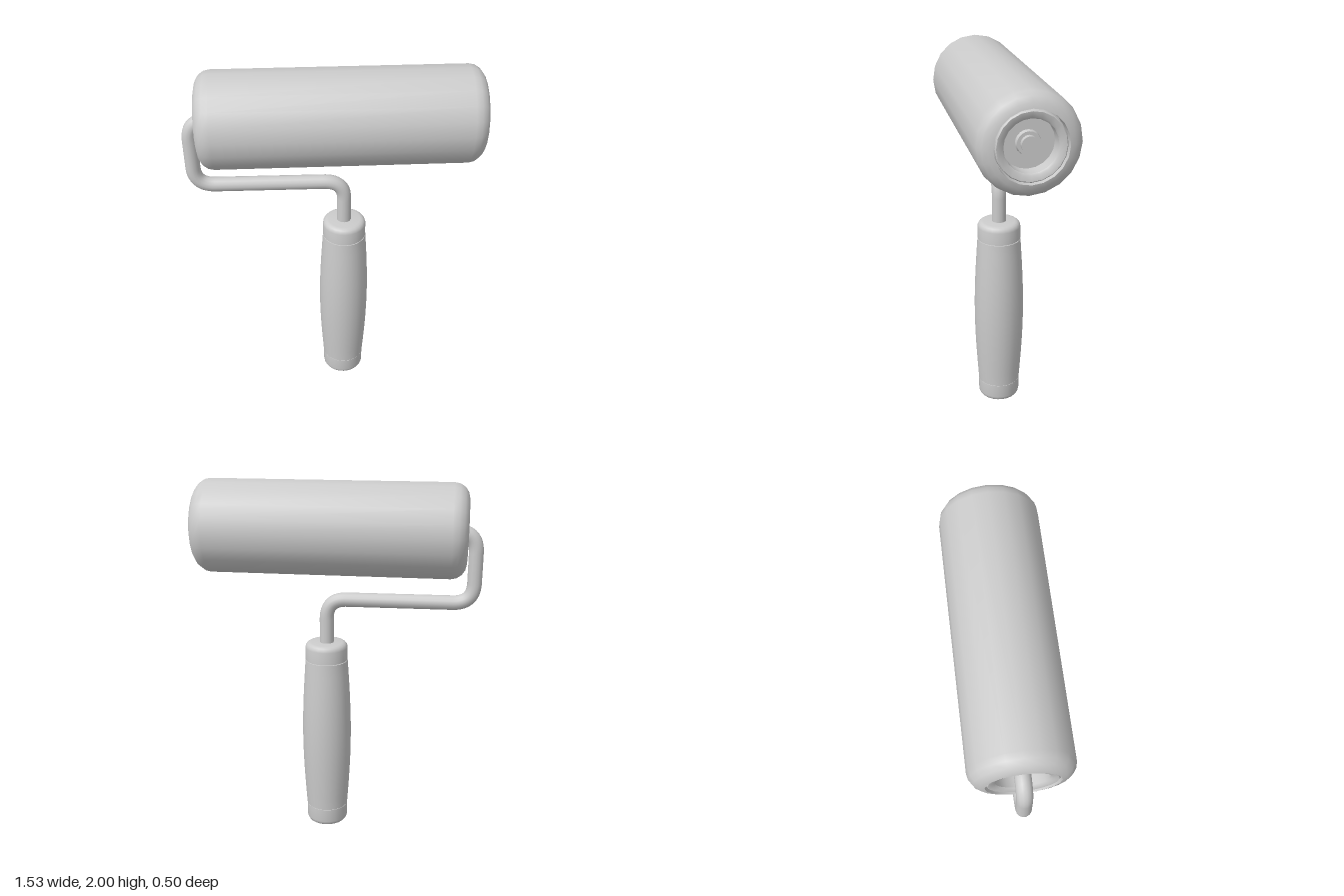
import * as THREE from 'three';
import { toCreasedNormals } from 'three/addons/utils/BufferGeometryUtils.js';

const material = new THREE.MeshStandardMaterial({ color: 0xcccccc });

function add(group, name, geometry) {
  const mesh = new THREE.Mesh(geometry, material);
  mesh.name = name;
  group.add(mesh);
  return mesh;
}

// Turned part from [radius, height] pairs, listed bottom to top
function turned(points, sides) {
  const profile = points.map(([r, y]) => new THREE.Vector2(r, y));
  return toCreasedNormals(new THREE.LatheGeometry(profile, sides), 0.7);
}

// Quarter-round points about (r, y), from angle a to a + 90 degrees
function round(r, y, radius, a) {
  return [0, 1, 2, 3, 4].map((i) => {
    const t = a + (i * Math.PI) / 8;
    return [r + radius * Math.cos(t), y + radius * Math.sin(t)];
  });
}

// Path through corners, each rounded with a bend of the given size
function bentPath(corners, bend) {
  const pts = corners.map(([x, y]) => new THREE.Vector3(x, y, 0));
  const path = new THREE.CurvePath();
  let start = pts[0];
  for (let i = 1; i < pts.length - 1; i++) {
    const toward = (p) => pts[i].clone().add(p.clone().sub(pts[i]).setLength(bend));
    const before = toward(pts[i - 1]);
    const after = toward(pts[i + 1]);
    path.add(new THREE.LineCurve3(start, before));
    path.add(new THREE.QuadraticBezierCurve3(before, pts[i], after));
    start = after;
  }
  path.add(new THREE.LineCurve3(start, pts[pts.length - 1]));
  return path;
}

export function createModel() {
  const group = new THREE.Group();
  const axisY = 1.75, rollerX = 0.04, half = 0.72;

  // Roller lies along x
  const roller = new THREE.Group();
  roller.name = 'roller';
  roller.position.set(rollerX, axisY, 0);
  roller.rotation.z = -Math.PI / 2;
  group.add(roller);

  // Padded sleeve with rounded rims and an open core
  const sleeve = 0.08;
  add(roller, 'sleeve', turned([
    [0.175, -half + 0.1], [0.175, -half],
    ...round(0.25 - sleeve, -half + sleeve, sleeve, -Math.PI / 2).slice(1),
    ...round(0.25 - sleeve, half - sleeve, sleeve, 0).slice(0, 4),
    [0.175, half], [0.175, half - 0.1],
  ], 20));

  // Recessed end caps with a lip and a small hub
  for (const side of [-1, 1]) {
    const cap = add(roller, side < 0 ? 'rightEndCap' : 'leftEndCap', turned([
      [0.176, half - 0.1], [0.167, half - 0.1], [0.167, half - 0.012], [0.162, half - 0.007],
      [0.135, half - 0.012], [0.127, half - 0.02], [0.125, half - 0.085],
      [0.06, half - 0.085], [0.056, half - 0.065], [0, half - 0.065],
    ], 20));
    if (side < 0) cap.rotation.x = Math.PI;
  }

  // Axle tip showing in the left cap
  const tip = add(roller, 'axleTip', new THREE.CylinderGeometry(0.04, 0.04, 0.08, 16));
  tip.position.y = half - 0.08;

  // Bent wire frame from handle to roller core
  const path = bentPath([
    [0.063, 1.05], [0.063, 1.36], [-0.728, 1.366], [-0.728, 1.75], [-0.55, 1.75],
  ], 0.11);
  add(group, 'wireFrame', new THREE.TubeGeometry(path, 100, 0.039, 14));

  // Handle: swelling grip between two rounded collars
  const handle = new THREE.Group();
  handle.name = 'handle';
  handle.position.x = 0.065;
  group.add(handle);

  const collarR = 0.118, soft = 0.03, top = 1.115;
  add(handle, 'bottomCollar', turned([
    [0, 0], ...round(collarR - soft, soft, soft, -Math.PI / 2), [collarR, 0.107], [0.1, 0.107],
  ], 24));
  add(handle, 'topCollar', turned([
    [0.1, 1.015], [collarR, 1.015], ...round(collarR - soft, top - soft, soft, 0), [0, top],
  ], 24));

  const grip = [[0.1, 0.11]];
  for (let i = 0; i <= 12; i++) {
    const t = i / 12;
    grip.push([0.119 + 0.02 * Math.sin(Math.PI * t), 0.11 + 0.902 * t]);
  }
  grip.push([0.1, 1.012]);
  add(handle, 'grip', turned(grip, 24));

  return group;
}
